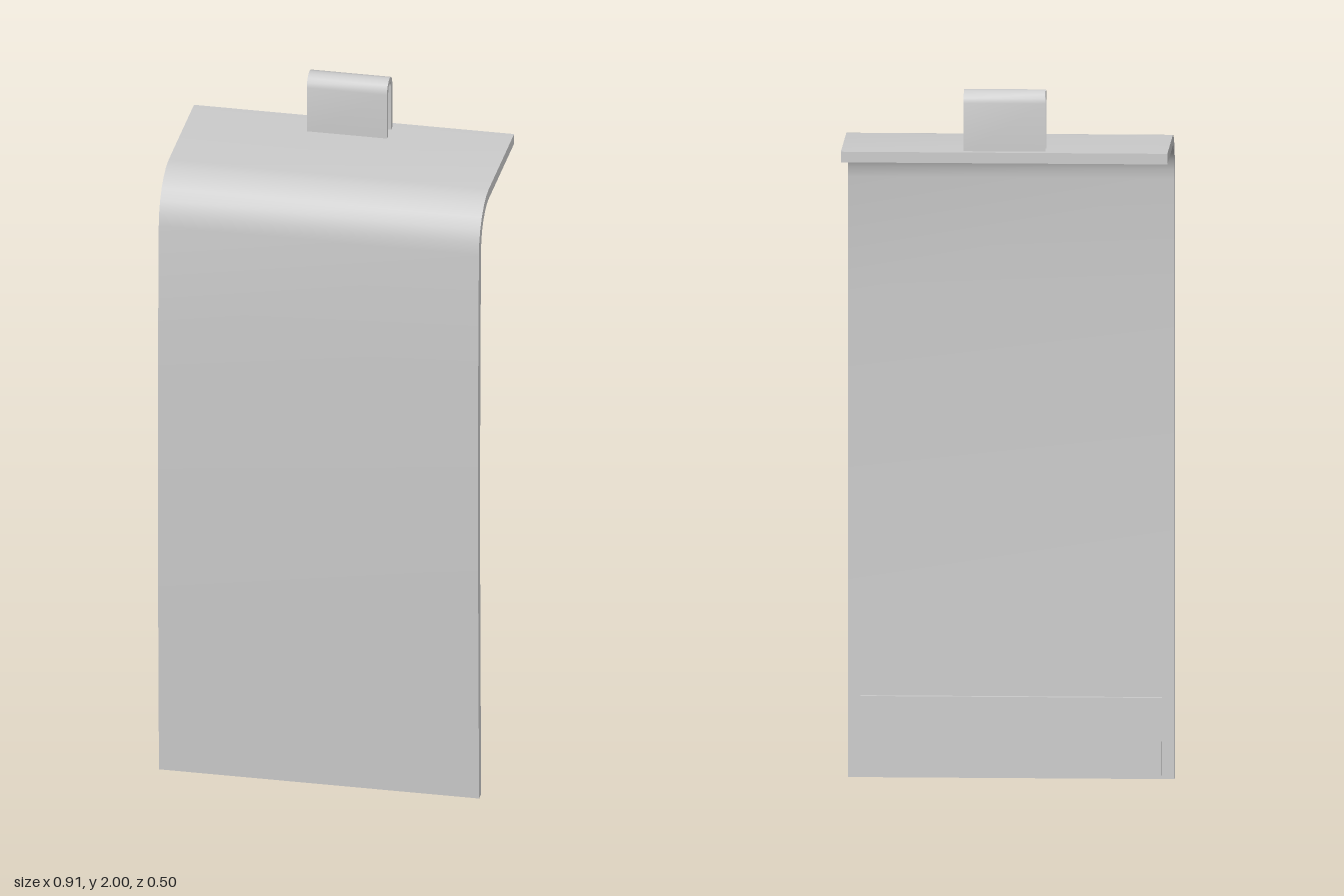
import * as THREE from 'three';
import { toCreasedNormals } from 'three/addons/utils/BufferGeometryUtils.js';

const material = new THREE.MeshStandardMaterial({ color: 0xcccccc });

// Sweeps a closed side profile of [z, y] points across the width, centred on x = 0.
function sweepProfile(name, points, width) {
  const shape = new THREE.Shape(points.map(([z, y]) => new THREE.Vector2(z, y)));
  const geometry = new THREE.ExtrudeGeometry(shape, { depth: width, bevelEnabled: false });
  geometry.translate(0, 0, -width / 2);
  geometry.rotateY(-Math.PI / 2);
  const mesh = new THREE.Mesh(toCreasedNormals(geometry, 0.7), material);
  mesh.name = name;
  return mesh;
}

// Points on an arc in the side plane, angles in degrees.
function arc(cz, cy, rz, ry, from, to, steps) {
  return Array.from({ length: steps + 1 }, (_, i) => {
    const a = THREE.MathUtils.degToRad(from + ((to - from) * i) / steps);
    return [cz + rz * Math.cos(a), cy + ry * Math.sin(a)];
  });
}

export function createModel() {
  const model = new THREE.Group();
  model.name = 'bentPanel';

  // Gently bowed front sheet that rolls over into a flat top flange
  const outer = [
    [0.235, 0], [0.243, 0.35], [0.249, 0.7], [0.25, 1], [0.247, 1.35],
    ...arc(0.1, 1.69, 0.138, 0.14, 0, 90, 6),
    [-0.25, 1.83],
  ];
  const inner = [
    [-0.25, 1.8],
    ...arc(0.1, 1.69, 0.108, 0.11, 90, 0, 6),
    [0.217, 1.35], [0.221, 1], [0.22, 0.7], [0.214, 0.35], [0.206, 0],
  ];
  model.add(sweepProfile('panel', [...outer, ...inner], 0.91));

  // Upside-down U clip standing on the flange
  const clip = [
    [-0.151, 1.825],
    ...arc(-0.188, 1.965, 0.037, 0.035, 0, 180, 8),
    [-0.225, 1.825], [-0.208, 1.825],
    ...arc(-0.188, 1.965, 0.02, 0.021, 180, 0, 8),
    [-0.168, 1.825],
  ];
  model.add(sweepProfile('clip', clip, 0.228));

  // Thin pad on the back of the lower edge
  const pad = [[0.192, 0.012], [0.212, 0.012], [0.214, 0.23], [0.195, 0.23]];
  model.add(sweepProfile('backPad', pad, 0.84));

  return model;
}
